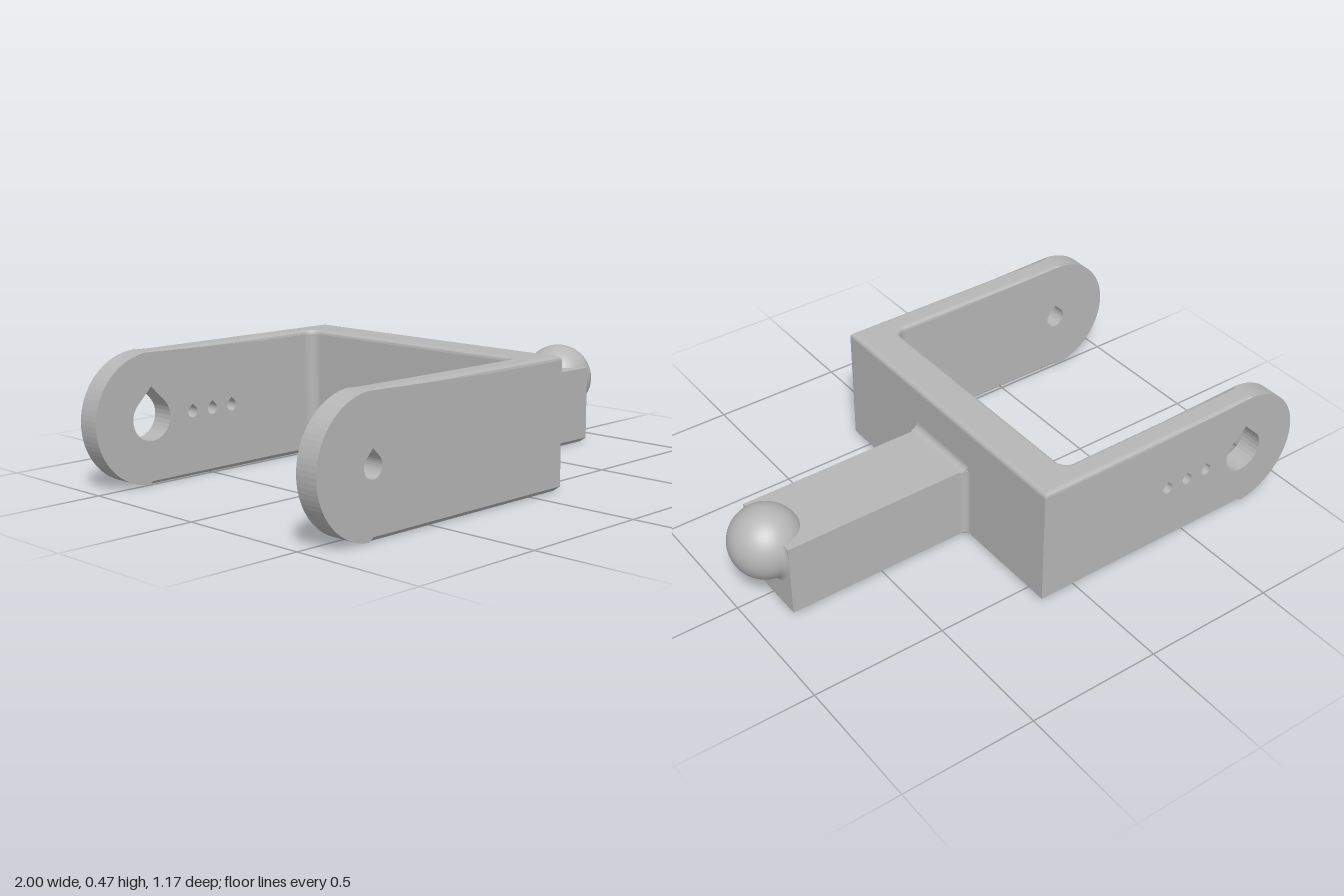
import * as THREE from 'three';

const H = 0.47, B = 0.015, R = H / 2;       // yoke height, edge bevel, arm end radius
const OUT = 0.587, IN = 0.5, HOLE_X = -0.765; // arm faces and pivot position
const STEM_H = 0.295, STEM_W = 0.147, STEM_END = 0.865;

// Points along an arc
function arc(cx, cy, r, from, to, n) {
  return Array.from({ length: n + 1 }, (_, i) => {
    const a = from + (to - from) * i / n;
    return new THREE.Vector2(cx + r * Math.cos(a), cy + r * Math.sin(a));
  });
}

// Mitred inset of a counter-clockwise outline
function inset(pts, d) {
  const n = pts.length;
  const normal = (a, b) => new THREE.Vector2(a.y - b.y, b.x - a.x).normalize();
  return pts.map((p, i) => {
    const n1 = normal(pts[(i + n - 1) % n], p), n2 = normal(p, pts[(i + 1) % n]);
    return p.clone().addScaledVector(n1.clone().add(n2), d / (1 + n1.dot(n2)));
  });
}

// Stack a plan outline (x, -z) through layers of [inset, height]
function loft(pts, layers) {
  const rings = layers.map(([d, y]) => inset(pts, d).map(p => [p.x, y, -p.y]));
  const out = [], n = pts.length, top = rings[rings.length - 1];
  for (let k = 0; k + 1 < rings.length; k++) {
    for (let i = 0; i < n; i++) {
      const j = (i + 1) % n, a = rings[k], b = rings[k + 1];
      out.push(a[i], a[j], b[j], a[i], b[j], b[i]);
    }
  }
  for (const [a, b, c] of THREE.ShapeUtils.triangulateShape(pts, [])) {
    out.push(top[a], top[b], top[c], rings[0][a], rings[0][c], rings[0][b]);
  }
  const geo = new THREE.BufferGeometry();
  geo.setAttribute('position', new THREE.Float32BufferAttribute(out.flat(), 3));
  geo.computeVertexNormals();
  return geo;
}

// Round hole with a pointed 45 degree top
function teardrop(x, r) {
  const pts = arc(x, R, r, Math.PI * 0.75, Math.PI * 2.25, 24);
  pts.push(new THREE.Vector2(x, R + r * Math.SQRT2));
  return new THREE.Path(pts);
}

// Arm plate with a round end; long edges rounded on top, chamfered below
function armGeometry(holes, zMin) {
  const shape = new THREE.Shape([
    new THREE.Vector2(-0.25, 0), new THREE.Vector2(-0.25, H),
    ...arc(HOLE_X, R, R, Math.PI / 2, Math.PI * 1.5, 40),
  ]);
  shape.holes = holes.map(([x, r]) => teardrop(x, r));
  const geo = new THREE.ExtrudeGeometry(shape, { depth: 7, steps: 7, bevelEnabled: false });
  const pos = geo.attributes.position, width = OUT - IN;
  for (let i = 0; i < pos.count; i++) {
    const k = Math.round(pos.getZ(i)), a = Math.min(k, 7 - k) * Math.PI / 6;
    const off = B * (1 - Math.cos(a));
    pos.setZ(i, zMin + (k < 4 ? off : width - off));
    if (pos.getX(i) > HOLE_X - 0.001) {
      if (pos.getY(i) > H - 1e-4) pos.setY(i, H - B * (1 - Math.sin(a)));
      else if (pos.getY(i) < 1e-4) pos.setY(i, B - off);
    }
  }
  geo.computeVertexNormals();
  return geo;
}

export function createModel() {
  const group = new THREE.Group();
  const grey = new THREE.MeshStandardMaterial({ color: 0xb6b6b6 });
  grey.name = 'grey';
  const add = (name, geo) => {
    const mesh = new THREE.Mesh(geo, grey);
    mesh.name = name;
    group.add(mesh);
    return mesh;
  };
  const v = (x, y) => new THREE.Vector2(x, y);
  const Q = Math.PI / 2;

  // Yoke crosspiece with filleted inner corners and the arm roots
  const yoke = [
    v(-0.3, -OUT), v(0.145, -OUT), v(0.145, OUT), v(-0.3, OUT), v(-0.3, IN),
    ...arc(-0.04, IN - 0.04, 0.04, Q, 0, 8),
    ...arc(-0.04, 0.04 - IN, 0.04, 0, -Q, 8), v(-0.3, -IN),
  ];
  const rounding = [0, 1, 2, 3].map(i => {
    const a = i * Q / 3;
    return [B * (1 - Math.cos(a)), H - B * (1 - Math.sin(a))];
  });
  add('yoke', loft(yoke, [[B, 0], [0, B], ...rounding]));

  // Arms: small pivot hole in front, large one with three small holes behind
  add('frontArm', armGeometry([[HOLE_X, 0.04]], IN));
  add('backArm', armGeometry(
    [[HOLE_X, 0.08], [-0.585, 0.021], [-0.495, 0.021], [-0.405, 0.021]], -OUT));

  // Stem, flared where it meets the yoke
  const f = 0.025, root = 0.145;
  const stem = [
    v(0.1, -STEM_W - f), ...arc(root + f, -STEM_W - f, f, 2 * Q, Q, 6),
    v(STEM_END, -STEM_W), v(STEM_END, STEM_W),
    ...arc(root + f, STEM_W + f, f, -Q, -2 * Q, 6), v(0.1, STEM_W + f),
  ];
  add('stem', loft(stem, [[B, 0], [0, B], [0, STEM_H]]));

  // Fillet above the stem root
  const fillet = new THREE.Shape([
    v(root, STEM_H), ...arc(root + f, STEM_H + f, f, -Q, -2 * Q, 6),
  ]);
  add('stemFillet', new THREE.ExtrudeGeometry(fillet, { depth: 0.31, bevelEnabled: false }))
    .position.z = -0.155;

  // Ball and the collar blending it into the stem's end face
  add('ball', new THREE.SphereGeometry(0.132, 48, 32)).position.set(0.868, 0.238, 0);
  const collar = new THREE.LatheGeometry(
    [v(0.146, 0), v(0.138, 0.003), v(0.133, 0.009), v(0.13, 0.02)],
    40, -0.41, Math.PI + 0.82);
  collar.rotateZ(-Q);
  add('ballCollar', collar).position.set(STEM_END, 0.238, 0);

  return group;
}
